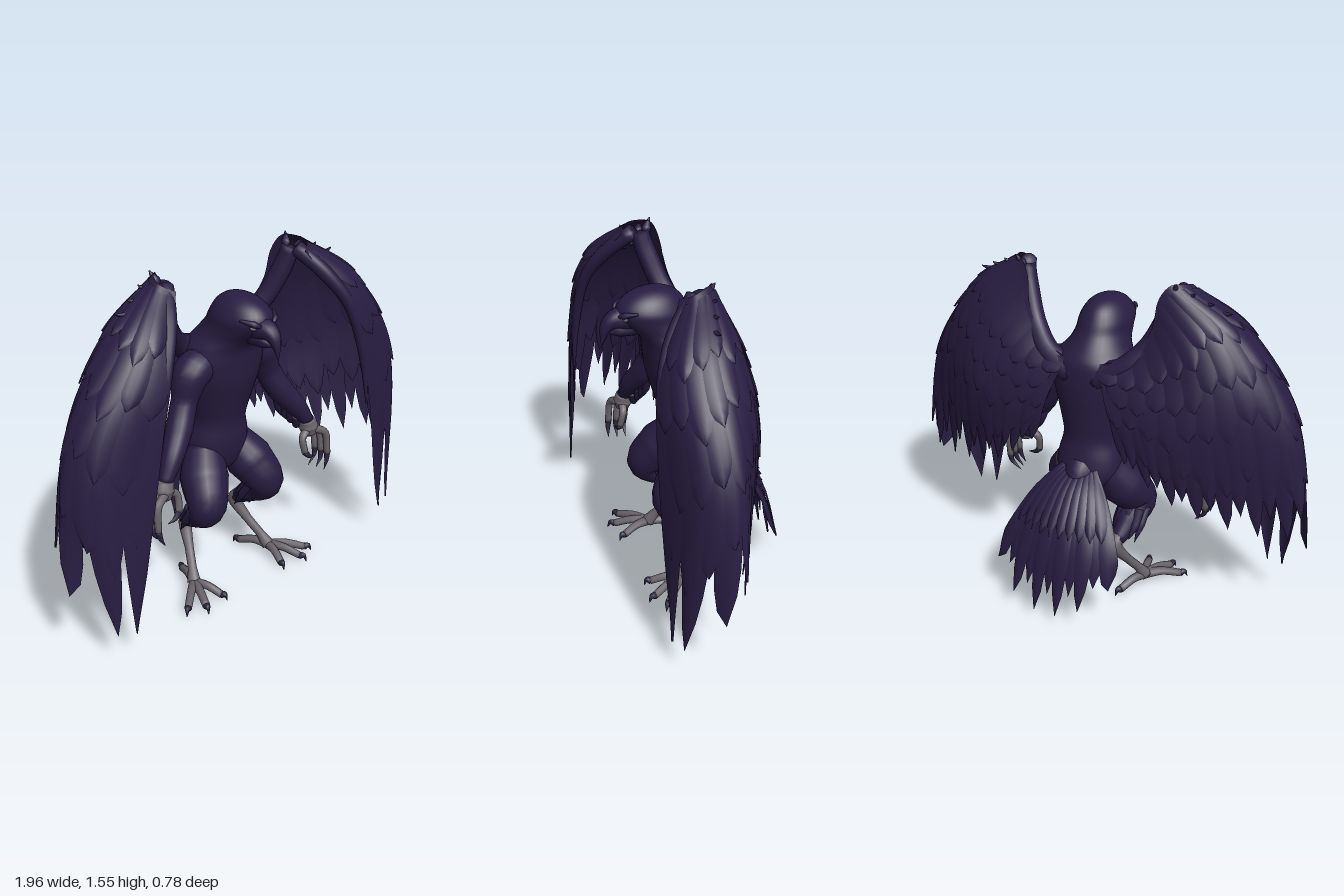
import * as THREE from 'three';
import { mergeGeometries, mergeVertices } from 'three/addons/utils/BufferGeometryUtils.js';

const V = (p) => new THREE.Vector3(...p);
const spline = (pts) => new THREE.CatmullRomCurve3(pts, false, 'catmullrom', 0.5);
const clamp01 = (t) => Math.min(1, Math.max(0, t));

// Smooth surface from a rule giving a point for each row and column
function grid(rows, cols, rule) {
  const pos = [], index = [];
  for (let i = 0; i <= rows; i++) {
    for (let j = 0; j <= cols; j++) pos.push(...rule(i / rows, j / cols).toArray());
  }
  for (let i = 0; i < rows; i++) {
    for (let j = 0; j < cols; j++) {
      const a = i * (cols + 1) + j, c = a + cols + 1;
      index.push(a, a + 1, c, a + 1, c + 1, c);
    }
  }
  let geo = new THREE.BufferGeometry();
  geo.setAttribute('position', new THREE.Float32BufferAttribute(pos, 3));
  geo.setIndex(index);
  geo = mergeVertices(geo, 1e-5);
  geo.computeVertexNormals();
  return geo;
}

// Round limb along a curve, with one radius per path point
function limb(path, radii, sides = 12) {
  const curve = spline(path.map(V)), rows = (path.length - 1) * 5, n = radii.length - 1;
  const rings = [];
  const N = new THREE.Vector3(0.31, 0.2, 0.93);
  for (let i = 0; i <= rows; i++) {
    const t = i / rows, k = Math.min(n - 1, Math.floor(t * n));
    const T = curve.getTangent(t);
    N.addScaledVector(T, -N.dot(T)).normalize();
    const r = THREE.MathUtils.lerp(radii[k], radii[k + 1], t * n - k);
    rings.push({ P: curve.getPoint(t), N: N.clone(), B: T.clone().cross(N), r });
  }
  rings.unshift({ ...rings[0], r: 0 });
  rings.push({ ...rings[rows + 1], r: 0 });
  return grid(rows + 2, sides, (i, j) => {
    const { P, N: n1, B, r } = rings[Math.round(i * (rows + 2))], a = (j % 1) * Math.PI * 2;
    return P.clone().addScaledVector(n1, r * Math.cos(a)).addScaledVector(B, r * Math.sin(a));
  });
}

// Curved feather lying on a surface S(u, v), lifted towards its rounded tip
function feather(S, u, w, v0, v1, lift) {
  return grid(10, 4, (t, s) => {
    const v = v0 + (v1 - v0) * t, side = s * 2 - 1;
    const half = w * Math.min(1, 0.7 + t) * (1 - t ** 6) ** 0.8;
    const uu = clamp01(u + side * half);
    const p = S(uu, v), e = 0.01;
    const du = S(clamp01(uu + e), v).sub(S(clamp01(uu - e), v));
    const dv = S(uu, clamp01(v + e)).sub(S(uu, clamp01(v - e)));
    const n = du.cross(dv).normalize();
    return p.addScaledVector(n, lift * (0.25 + t) * (1 - 0.35 * side * side));
  });
}

function mirrored(geo) {
  const g = geo.clone().scale(-1, 1, 1), a = g.index.array;
  for (let i = 0; i < a.length; i += 3) [a[i], a[i + 1]] = [a[i + 1], a[i]];
  g.computeVertexNormals();
  return g;
}

// Wing columns from the body, round the back, to the front edge; each runs top to bottom
const wingColumns = [
  [[0.08, 1.17, -0.07], [0.11, 1.08, -0.1], [0.16, 0.95, -0.115], [0.2, 0.78, -0.105]],
  [[0.21, 1.22, -0.04], [0.27, 1.1, -0.1], [0.3, 0.92, -0.12], [0.36, 0.64, -0.09]],
  [[0.29, 1.34, -0.01], [0.42, 1.15, -0.08], [0.47, 0.9, -0.105], [0.5, 0.54, -0.04]],
  [[0.31, 1.47, 0.01], [0.53, 1.26, -0.04], [0.62, 0.95, -0.055], [0.67, 0.47, 0.03]],
  [[0.35, 1.535, 0.03], [0.61, 1.34, 0.03], [0.77, 1.0, 0.03], [0.84, 0.43, 0.1]],
  [[0.39, 1.54, 0.07], [0.665, 1.335, 0.14], [0.89, 0.97, 0.14], [0.985, 0.42, 0.165]],
  [[0.41, 1.525, 0.13], [0.63, 1.3, 0.26], [0.85, 0.88, 0.275], [0.825, 0.17, 0.315]],
  [[0.36, 1.495, 0.17], [0.52, 1.24, 0.315], [0.61, 0.86, 0.345], [0.73, 0.16, 0.335]],
].map((c) => spline(c.map(V)));
const wingSurface = (u, v) => spline(wingColumns.map((c) => c.getPoint(clamp01(v)))).getPoint(u);

// Tail fan, bowed forward at its sides
const tailSurface = (u, v) => {
  const a = u * 2 - 1, q = a * a;
  return spline([
    V([a * 0.09, 0.67, -0.09]), V([a * 0.19, 0.575 - 0.03 * q, -0.22 + 0.05 * q]),
    V([a * 0.27, 0.37 + 0.02 * q, -0.335 + 0.09 * q]),
    V([0.02 + a * 0.31, 0.045 + 0.22 * q, -0.37 + 0.12 * q * q]),
  ]).getPoint(clamp01(v));
};

export function createModel() {
  const model = new THREE.Group();
  const mat = (name, color, side = THREE.FrontSide) => {
    const m = new THREE.MeshStandardMaterial({ color, side });
    m.name = name;
    return m;
  };
  const plumage = mat('dark purple plumage', 0x281d42, THREE.DoubleSide);
  const skin = mat('grey skin', 0x68636a);
  const horn = mat('dark claw', 0x2a2440);
  const eyeMat = mat('grey eye', 0x6a6672);
  const add = (name, geo, material) => {
    const mesh = new THREE.Mesh(geo, material);
    mesh.name = name;
    model.add(mesh);
  };
  const pair = (name, geo, material) => {
    add(name + 'Left', geo, material);
    add(name + 'Right', mirrored(geo), material);
  };

  // Torso, neck and head: height, centre z, half width, half depth
  const body = [
    [0.52, 0.0, 0.01, 0.01], [0.55, 0.0, 0.09, 0.09], [0.62, 0.0, 0.15, 0.12], [0.7, 0.01, 0.15, 0.12],
    [0.79, 0.02, 0.13, 0.11], [0.89, 0.03, 0.15, 0.125], [1.0, 0.04, 0.18, 0.145],
    [1.09, 0.045, 0.195, 0.15], [1.16, 0.055, 0.175, 0.15], [1.21, 0.09, 0.135, 0.15],
    [1.26, 0.135, 0.118, 0.155], [1.31, 0.16, 0.113, 0.155], [1.36, 0.16, 0.085, 0.12],
    [1.39, 0.155, 0.045, 0.065], [1.4, 0.155, 0, 0],
  ];
  const centre = spline(body.map((b) => V([b[0], b[1], 0])));
  const size = spline(body.map((b) => V([b[2], b[3], 0])));
  add('body', grid(56, 32, (t, s) => {
    const c = centre.getPoint(t), r = size.getPoint(t), a = (s % 1) * Math.PI * 2;
    return V([Math.sin(a) * r.x, c.x, c.y + Math.cos(a) * r.y]);
  }), plumage);

  // Face
  add('beak', limb([[0, 1.28, 0.25], [0, 1.275, 0.325], [0, 1.24, 0.364], [0, 1.17, 0.382]],
    [0.06, 0.042, 0.025, 0.003]), plumage);
  add('lowerBeak', limb([[0, 1.235, 0.24], [0, 1.225, 0.31], [0, 1.215, 0.345]], [0.045, 0.03, 0.006]), plumage);
  pair('brow', limb([[0.03, 1.297, 0.313], [0.06, 1.312, 0.298], [0.095, 1.325, 0.25]],
    [0.006, 0.014, 0.005]), plumage);
  const eye = new THREE.SphereGeometry(1, 12, 8).scale(0.014, 0.008, 0.007)
    .rotateZ(0.35).rotateY(0.5).translate(0.062, 1.293, 0.294);
  pair('eye', eye, eyeMat);

  // Arms
  pair('arm', limb([[0.12, 1.09, 0.06], [0.2, 1.06, 0.07], [0.245, 0.95, 0.075], [0.295, 0.85, 0.1],
    [0.37, 0.75, 0.14], [0.43, 0.66, 0.16]], [0.08, 0.083, 0.058, 0.06, 0.048, 0.03], 16), plumage);
  pair('armTuft', mergeGeometries([0, 1, 2, 3].map((i) => limb([[0.29 + i * 0.03, 0.82 - i * 0.04, 0.1 + i * 0.01],
    [0.31 + i * 0.03, 0.74 - i * 0.035, 0.09 + i * 0.01], [0.35 + i * 0.025, 0.67 - i * 0.015, 0.1 + i * 0.01]],
    [0.03, 0.02, 0.001], 6))), plumage);

  // Fingers and toes, each ending in a claw
  const digits = (name, list, r) => {
    pair(name, mergeGeometries(list.map((p) => limb(p.slice(0, 3), [r * 1.2, r, r * 0.9], 8))), skin);
    pair(name + 'Claws', mergeGeometries(list.map((p) => limb(p.slice(2), [r * 0.9, r * 0.6, 0.001], 8))), horn);
  };
  pair('palm', limb([[0.425, 0.67, 0.16], [0.437, 0.63, 0.16], [0.44, 0.59, 0.165]], [0.035, 0.047, 0.032]), skin);
  const fingers = [-0.04, 0, 0.04].map((z) => [[0.455, 0.62, 0.16 + z * 0.6], [0.507, 0.585, 0.165 + z],
    [0.515, 0.48, 0.175 + z], [0.507, 0.445, 0.18 + z], [0.475 + z * 0.3, 0.405, 0.185 + z]]);
  fingers.push([[0.42, 0.62, 0.17], [0.38, 0.59, 0.18], [0.385, 0.52, 0.195], [0.41, 0.495, 0.2], [0.45, 0.485, 0.2]]);
  digits('fingers', fingers, 0.0175);

  // Legs
  pair('thigh', limb([[0.08, 0.64, 0.01], [0.135, 0.54, 0.075], [0.178, 0.435, 0.14], [0.17, 0.355, 0.065],
    [0.155, 0.285, -0.02]], [0.085, 0.11, 0.088, 0.06, 0.032], 18), plumage);
  pair('legTufts', mergeGeometries([...Array(8).keys()].map((i) => {
    const a = i * Math.PI / 4, x = Math.cos(a), z = Math.sin(a);
    return limb([[0.178 + x * 0.055, 0.42, 0.11 + z * 0.05], [0.172 + x * 0.06, 0.345, 0.06 + z * 0.04],
      [0.165 + x * 0.06, 0.275 + 0.025 * (i % 2), 0.015 + z * 0.035]], [0.025, 0.02, 0.001], 6);
  })), plumage);
  pair('shank', limb([[0.155, 0.31, -0.005], [0.155, 0.26, -0.035], [0.185, 0.17, 0.025], [0.215, 0.1, 0.08],
    [0.235, 0.045, 0.115]], [0.03, 0.032, 0.021, 0.021, 0.032]), skin);
  const toe = (x, z) => [[0.235, 0.045, 0.115], [0.235 + (x - 0.235) * 0.4, 0.05, 0.115 + (z - 0.115) * 0.4],
    [0.235 + (x - 0.235) * 0.83, 0.027, 0.115 + (z - 0.115) * 0.83],
    [0.235 + (x - 0.235) * 0.93, 0.032, 0.115 + (z - 0.115) * 0.93], [x, 0.003, z]];
  digits('toes', [toe(0.395, 0.25), toe(0.31, 0.3), toe(0.18, 0.28), toe(0.17, -0.06)], 0.0195);

  // Wings: bony front edge, membrane, flight feathers and covering rows
  pair('wingArm', limb([[0.06, 1.09, -0.03], [0.18, 1.16, -0.035], [0.275, 1.265, 0.015], [0.335, 1.4, 0.06],
    [0.36, 1.495, 0.085]], [0.07, 0.05, 0.045, 0.045, 0.04]), plumage);
  pair('wingFrontEdge', limb([[0.365, 1.5, 0.11], [0.445, 1.385, 0.225], [0.525, 1.235, 0.3], [0.59, 1.0, 0.33],
    [0.63, 0.75, 0.34]], [0.035, 0.033, 0.025, 0.018, 0.006]), plumage);
  pair('wingMembrane', grid(24, 40, (v, u) => wingSurface(u, v * 0.72)), plumage);
  const flight = [], coverts = [];
  for (let i = 0; i < 14; i++) {
    flight.push(feather(wingSurface, 0.03 + i * 0.05, 0.037, 0.42, i % 2 ? 0.93 : 0.99, 0.012 + 0.006 * (i % 2)));
  }
  [0.75, 0.86, 0.965].forEach((u, i) => flight.push(feather(wingSurface, u, 0.052, 0.42, 1, 0.012 + 0.004 * i)));
  [0.3, 0.48, 0.65, 0.82].forEach((tip, row) => {
    for (let i = 0; i < 13; i++) {
      const u = 0.04 + (i + 0.5 * (row % 2)) * 0.073, end = tip + 0.025 * ((i * 7 + row) % 3);
      coverts.push(feather(wingSurface, u, 0.05, Math.max(0, tip - 0.27), end, 0.016));
      if (row > 1) coverts.push(feather(wingSurface, u, 0.045, tip - 0.25, end, -0.012));
    }
  });
  pair('flightFeathers', mergeGeometries(flight), plumage);
  pair('wingCoverts', mergeGeometries(coverts), plumage);
  pair('wristTuft', mergeGeometries([0, 1, 2, 3].map((i) => limb([[0.345 + i * 0.045, 1.47 - i * 0.03, 0.06 + i * 0.02],
    [0.365 + i * 0.055, 1.51 - i * 0.03, 0.05 + i * 0.02], [0.38 + i * 0.075, 1.55 - i * 0.036, 0.03 + i * 0.022]],
    [0.01, 0.022, 0.002], 8))), plumage);

  // Tail
  add('tailBase', limb([[0, 0.66, -0.02], [0, 0.62, -0.1], [0, 0.54, -0.18]], [0.1, 0.07, 0.01]), plumage);
  const tail = [];
  for (let i = 0; i < 11; i++) {
    const u = 0.06 + i * 0.088;
    tail.push(feather(tailSurface, u, 0.07, 0, i % 2 ? 0.9 : 1, i % 2 ? 0.01 : 0.018));
    if (i < 10) tail.push(feather(tailSurface, u + 0.044, 0.07, 0, 0.6, 0.02));
  }
  add('tailFeathers', mergeGeometries(tail), plumage);
  return model;
}
